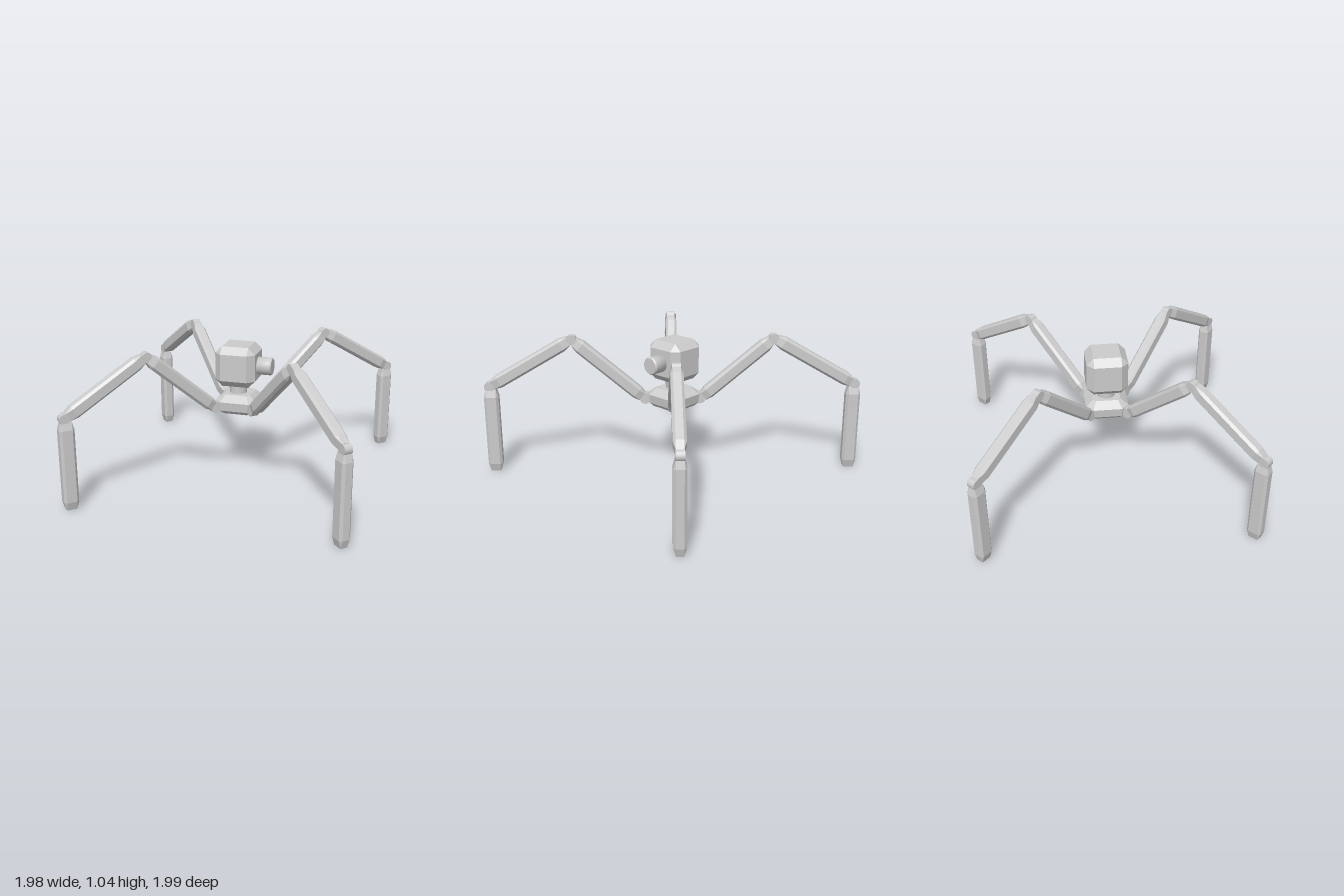
import * as THREE from 'three';
import { ConvexGeometry } from 'three/addons/geometries/ConvexGeometry.js';

const flat = new THREE.MeshStandardMaterial({ color: 0xcccccc, flatShading: true });
const smooth = new THREE.MeshStandardMaterial({ color: 0xcccccc });

function add(parent, name, geometry, material, x = 0, y = 0, z = 0) {
  const mesh = new THREE.Mesh(geometry, material);
  mesh.name = name;
  mesh.position.set(x, y, z);
  parent.add(mesh);
  return mesh;
}

// Box with every edge cut off; cx, cy, cz are the insets along each axis
function chamferBox(w, h, d, cx, cy, cz) {
  const points = [];
  for (const sx of [-1, 1]) for (const sy of [-1, 1]) for (const sz of [-1, 1]) {
    const [x, y, z] = [w / 2, h / 2, d / 2];
    points.push(
      new THREE.Vector3(sx * x, sy * (y - cy), sz * (z - cz)),
      new THREE.Vector3(sx * (x - cx), sy * y, sz * (z - cz)),
      new THREE.Vector3(sx * (x - cx), sy * (y - cy), sz * z));
  }
  return new ConvexGeometry(points);
}

// Low body: square rings with cut corners, [y, half width, corner cut]
function bodyGeometry() {
  const rings = [[0.505, 0.125, 0.04], [0.53, 0.148, 0.045], [0.595, 0.155, 0.05], [0.64, 0.1, 0.02]];
  const points = [];
  for (const [y, r, c] of rings)
    for (const sx of [-1, 1]) for (const sz of [-1, 1])
      points.push(new THREE.Vector3(sx * r, y, sz * (r - c)), new THREE.Vector3(sx * (r - c), y, sz * r));
  return new ConvexGeometry(points);
}

// Tapered leg bar between two [radius, height] points in the leg's plane
function limb(leg, name, a, b, thick) {
  const dx = b[0] - a[0], dy = b[1] - a[1];
  const geometry = chamferBox(thick, Math.hypot(dx, dy), 0.085, 0.017, 0.06, 0.017);
  const mesh = add(leg, name, geometry, flat, (a[0] + b[0]) / 2, (a[1] + b[1]) / 2);
  mesh.rotation.z = Math.atan2(-dx, dy);
}

function joint(leg, name, [x, y], radius) {
  add(leg, name, new THREE.CylinderGeometry(radius, radius, 0.058, 16), smooth, x, y).rotation.x = Math.PI / 2;
}

function makeLeg(name, footX, footZ) {
  const leg = new THREE.Group();
  leg.name = name;
  const foot = Math.hypot(footX, footZ);
  const hip = [0.2, 0.56], knee = [0.725, 1.0], ankle = [foot + 0.01, 0.655];
  joint(leg, 'hipJoint', hip, 0.042);
  limb(leg, 'thigh', [0.215, 0.565], [0.712, 0.99], 0.095);
  joint(leg, 'kneeJoint', knee, 0.036);
  limb(leg, 'shin', [0.745, 0.995], [foot - 0.01, 0.665], 0.095);
  joint(leg, 'ankleJoint', ankle, 0.036);
  limb(leg, 'lowerLeg', [foot, 0.64], [foot, 0], 0.105);
  leg.rotation.y = -Math.atan2(footZ, footX);
  return leg;
}

export function createModel() {
  const model = new THREE.Group();
  model.name = 'walkingRobot';

  // Body, neck and head
  add(model, 'body', bodyGeometry(), flat, 0, 0, -0.012);
  add(model, 'neck', new THREE.CylinderGeometry(0.063, 0.063, 0.12, 32), smooth, -0.01, 0.67, -0.01);
  add(model, 'head', chamferBox(0.295, 0.295, 0.295, 0.05, 0.05, 0.05), flat, -0.008, 0.852, -0.01);

  // Camera eye on the model's left, with a small bevel at its rim
  const profile = [[0, 0], [0.064, 0], [0.064, 0.105], [0.064, 0.105], [0.057, 0.115], [0.057, 0.115], [0, 0.115]];
  const eye = add(model, 'eye',
    new THREE.LatheGeometry(profile.map(([r, y]) => new THREE.Vector2(r, y)), 32),
    smooth, 0.13, 0.85, -0.008);
  eye.rotation.z = -Math.PI / 2;

  // Four diagonal legs
  model.add(
    makeLeg('frontLeftLeg', 0.935, 0.935),
    makeLeg('frontRightLeg', -0.935, 0.92),
    makeLeg('backLeftLeg', 0.935, -0.94),
    makeLeg('backRightLeg', -0.935, -0.94));
  return model;
}
